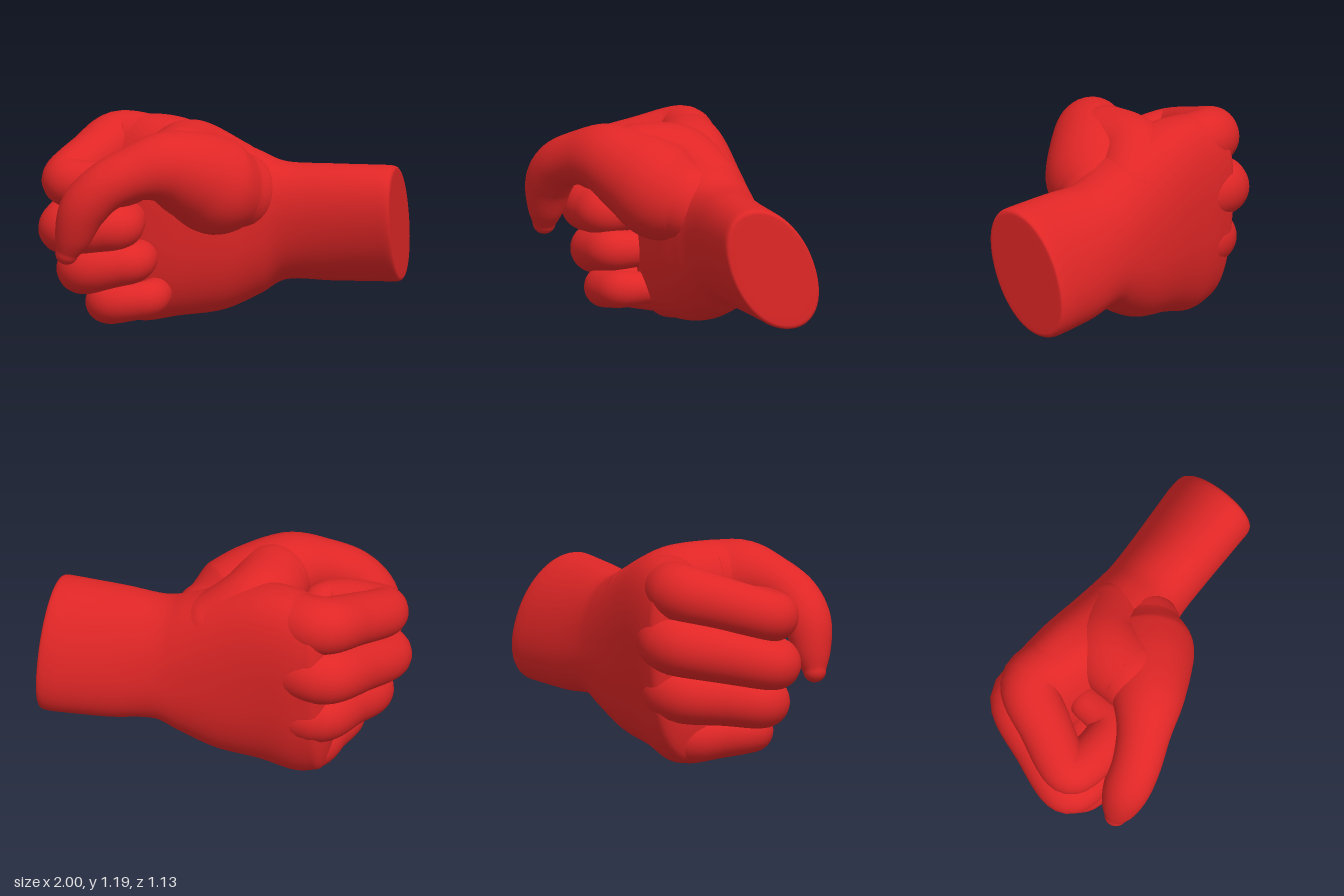
import * as THREE from 'three';

const SEG = 40;

// Catmull-Rom blend through rows of numbers, t from 0 to 1
function blend(rows, t) {
  const last = rows.length - 1;
  const i = Math.min(Math.floor(t * last), last - 1);
  const f = t * last - i;
  const [a, b, c, d] = [-1, 0, 1, 2].map((k) => rows[Math.min(last, Math.max(0, i + k))]);
  return b.map((_, k) => b[k] + 0.5 * f * (c[k] - a[k]
    + f * (2 * a[k] - 5 * b[k] + 4 * c[k] - d[k] + f * (3 * (b[k] - c[k]) + d[k] - a[k]))));
}

// Closed smooth skin over a list of rings of Vector3
function skin(rings) {
  const pos = [], index = [], n = rings[0].length;
  rings.forEach((r) => r.forEach((p) => pos.push(p.x, p.y, p.z)));
  for (let i = 0; i < rings.length - 1; i++) {
    for (let j = 0; j < n; j++) {
      const k = (j + 1) % n, a = i * n + j, b = i * n + k;
      index.push(a, b, b + n, a, b + n, a + n);
    }
  }
  [0, rings.length - 1].forEach((i) => {
    const c = rings[i].reduce((s, p) => s.add(p), new THREE.Vector3()).divideScalar(n);
    const id = pos.length / 3;
    pos.push(c.x, c.y, c.z);
    for (let j = 0; j < n; j++) {
      const a = i * n + j, b = i * n + (j + 1) % n;
      if (i === 0) index.push(id, b, a); else index.push(id, a, b);
    }
  });
  const g = new THREE.BufferGeometry();
  g.setAttribute('position', new THREE.Float32BufferAttribute(pos, 3));
  g.setIndex(index);
  g.computeVertexNormals();
  return g;
}

// Round-ended limb; rows are [x, y, z, radius]
function limb(rows, ref = new THREE.Vector3(0, 1, 0), steps = 48) {
  const rings = [];
  const at = (t) => new THREE.Vector3(...blend(rows, t).slice(0, 3));
  const ring = (t, cap) => {
    const tan = at(Math.min(1, t + 0.01)).sub(at(Math.max(0, t - 0.01))).normalize();
    const u = ref.clone().cross(tan).normalize();
    const v = tan.clone().cross(u);
    const r = blend(rows, t)[3];
    const c = at(t).addScaledVector(tan, r * Math.sin(cap));
    const out = [];
    for (let j = 0; j < SEG; j++) {
      const a = (j / SEG) * Math.PI * 2;
      out.push(c.clone().addScaledVector(u, Math.cos(a) * r * Math.cos(cap))
        .addScaledVector(v, Math.sin(a) * r * Math.cos(cap)));
    }
    rings.push(out);
  };
  for (let k = 8; k > 0; k--) ring(0, -k * 0.19);
  for (let i = 0; i <= steps; i++) ring(i / steps, 0);
  for (let k = 1; k <= 8; k++) ring(1, k * 0.19);
  return skin(rings);
}

// Wrist and palm; rows are [x, yMin, yMax, zBack, zFront, shear, squareness]
function palmGeometry() {
  const rows = [
    [0.9, 0.25, 0.96, -0.54, -0.035, 0.3, 2.1],
    [0.6, 0.25, 0.955, -0.52, -0.03, 0.25, 2.1],
    [0.35, 0.26, 0.95, -0.505, -0.02, 0.15, 2.2],
    [0.2, 0.18, 1.0, -0.505, 0.01, 0.06, 2.3],
    [0.0, 0.09, 1.08, -0.51, 0.04, 0.0, 2.4],
    [-0.25, 0.05, 1.16, -0.515, 0.03, -0.05, 2.5],
    [-0.45, 0.01, 1.17, -0.52, -0.01, -0.07, 2.5],
    [-0.58, 0.04, 1.14, -0.51, -0.06, -0.08, 2.5],
  ];
  const rings = [];
  const ring = (row, scale, dx) => {
    const [x, y0, y1, z0, z1, shear, p] = row;
    const out = [];
    for (let j = 0; j < 64; j++) {
      const a = (j / 64) * Math.PI * 2;
      const pw = (s) => Math.sign(s) * Math.abs(s) ** (2 / p) * scale;
      const dy = pw(Math.sin(a)) * (y1 - y0) / 2;
      const dz = pw(Math.cos(a)) * (z1 - z0) / 2 + shear * dy;
      const slant = x > 0.8 ? -0.05 * dz * Math.min(1, dx * 12) : 0;
      out.push(new THREE.Vector3(x + dx + slant, (y0 + y1) / 2 + dy, (z0 + z1) / 2 + dz));
    }
    rings.push(out);
  };
  // Flat cut wrist end with a small rounded rim
  [[0.3, 0.085], [0.8, 0.085], [0.92, 0.085], [0.95, 0.083], [0.975, 0.077], [0.99, 0.065], [1, 0.045]]
    .forEach(([s, dx]) => ring(rows[0], s, dx));
  for (let i = 0; i <= 56; i++) ring(blend(rows, i / 56), 1, 0);
  // Rounded knuckle end
  for (let k = 1; k <= 8; k++) ring(rows[rows.length - 1], Math.cos(k * 0.19), -0.1 * Math.sin(k * 0.19));
  return skin(rings);
}

// Curled fingers, from inside the palm, over the knuckle, to the tip
const FINGERS = {
  indexFinger: [[-0.42, 1.0, -0.3, 0.165], [-0.62, 1.01, -0.33, 0.165], [-0.74, 0.95, -0.12, 0.15],
    [-0.84, 0.885, 0.1, 0.14], [-0.78, 0.87, 0.165, 0.137], [-0.6, 0.87, 0.18, 0.13],
    [-0.48, 0.87, 0.13, 0.115], [-0.46, 0.87, -0.04, 0.1]],
  middleFinger: [[-0.4, 0.72, -0.34, 0.16], [-0.64, 0.72, -0.385, 0.165], [-0.77, 0.66, -0.12, 0.155],
    [-0.86, 0.605, 0.1, 0.14], [-0.8, 0.605, 0.17, 0.14], [-0.65, 0.615, 0.178, 0.132],
    [-0.54, 0.625, 0.15, 0.128], [-0.52, 0.63, 0.0, 0.11]],
  ringFinger: [[-0.36, 0.45, -0.31, 0.16], [-0.59, 0.43, -0.34, 0.16], [-0.69, 0.4, -0.1, 0.15],
    [-0.76, 0.37, 0.08, 0.14], [-0.71, 0.375, 0.15, 0.138], [-0.56, 0.405, 0.165, 0.122],
    [-0.46, 0.42, 0.13, 0.115], [-0.44, 0.42, -0.02, 0.1]],
  littleFinger: [[-0.3, 0.2, -0.23, 0.14], [-0.5, 0.165, -0.245, 0.148], [-0.57, 0.17, -0.07, 0.13],
    [-0.62, 0.18, 0.07, 0.118], [-0.58, 0.182, 0.14, 0.116], [-0.45, 0.2, 0.148, 0.106],
    [-0.37, 0.212, 0.11, 0.103], [-0.35, 0.215, -0.03, 0.09]],
};

// Thumb with its fleshy base, and the web joining it to the palm
const THUMB = [[0.1, 0.8, -0.1, 0.22], [0, 0.845, 0, 0.275], [-0.12, 0.93, 0.11, 0.255],
  [-0.27, 1.0, 0.24, 0.205], [-0.43, 0.98, 0.34, 0.155], [-0.58, 0.91, 0.41, 0.14],
  [-0.69, 0.79, 0.43, 0.135], [-0.75, 0.63, 0.428, 0.105], [-0.785, 0.53, 0.425, 0.065]];
const WEB = [[0.04, 0.86, -0.26, 0.19], [-0.16, 0.97, -0.14, 0.215], [-0.2, 0.99, 0.08, 0.215]];

export function createModel() {
  const red = new THREE.MeshStandardMaterial({ color: 0xe02626 });
  red.name = 'red';
  const hand = new THREE.Group();
  hand.name = 'hand';
  const add = (name, geometry) => {
    const mesh = new THREE.Mesh(geometry, red);
    mesh.name = name;
    hand.add(mesh);
  };
  add('palmAndWrist', palmGeometry());
  for (const [name, rows] of Object.entries(FINGERS)) add(name, limb(rows));
  add('thumb', limb(THUMB, new THREE.Vector3(0, 0, 1)));
  add('thumbWeb', limb(WEB));
  return hand;
}
